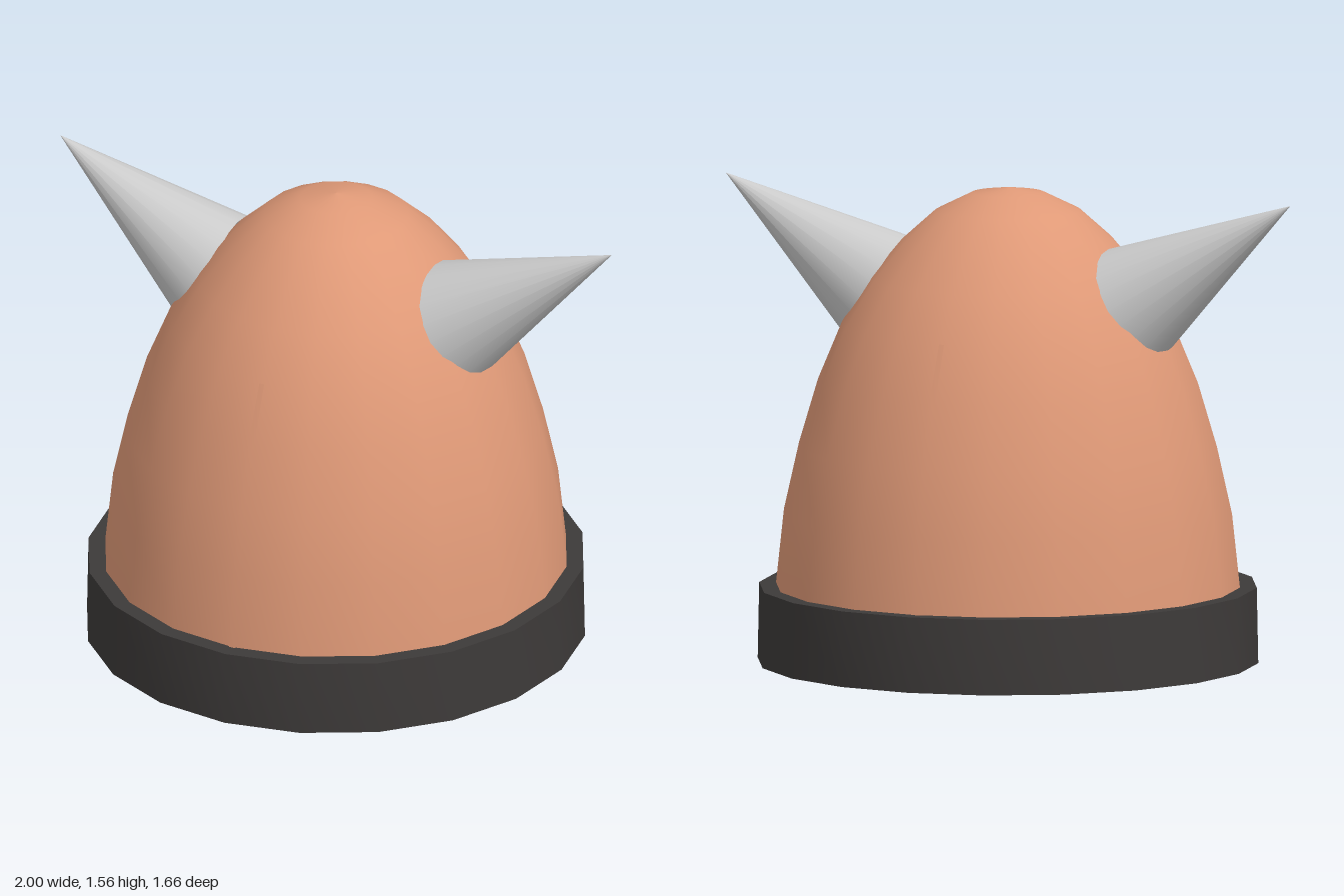
import * as THREE from 'three';
import { toCreasedNormals } from 'three/addons/utils/BufferGeometryUtils.js';

const SIDES = 20;
const paint = (color) => new THREE.MeshStandardMaterial({ color, side: THREE.DoubleSide });

function lathe(points, segments = SIDES, start = 0, sweep = Math.PI * 2) {
  const profile = points.map(([r, y]) => new THREE.Vector2(r, y));
  const geo = new THREE.LatheGeometry(profile, segments, start, sweep);
  return geo.scale(0.985, 1, 1); // slightly narrower than deep
}

function add(parent, name, geo, material) {
  const mesh = new THREE.Mesh(geo, material);
  mesh.name = name;
  parent.add(mesh);
  return mesh;
}

// Open cone with its tip at the origin; the base reaches further at the
// front and back so that it wraps around the curved dome
function hornGeometry(radius, length) {
  const geo = new THREE.ConeGeometry(radius, length, SIDES, 1, true).translate(0, -length / 2, 0);
  const pos = geo.attributes.position;
  const v = new THREE.Vector3();
  for (let i = 0; i < pos.count; i++) {
    v.fromBufferAttribute(pos, i);
    v.multiplyScalar(1 + 0.07 * (v.z / radius) ** 2);
    pos.setXYZ(i, v.x, v.y, v.z);
  }
  return geo;
}

export function createModel() {
  const model = new THREE.Group();
  model.name = 'hornedHelmet';
  const copper = paint(0xdf9977);
  const iron = paint(0x3d3a39);
  const bone = paint(0xcccccc);

  // Dome: outer skin and a slightly smaller lining
  const profile = [
    [0.77, 0.24], [0.743, 0.49], [0.693, 0.71], [0.63, 0.92], [0.55, 1.11],
    [0.455, 1.26], [0.35, 1.385], [0.24, 1.482], [0.12, 1.54], [0, 1.558],
  ];
  const dome = new THREE.Group();
  dome.name = 'dome';
  model.add(dome);
  add(dome, 'outerShell', lathe(profile), copper);
  const lining = profile.map(([r, y]) => [r * 0.957, 0.24 + (y - 0.24) * 0.975]).reverse();
  add(dome, 'innerLining', lathe(lining), copper);

  // Narrow seams up the front and back of the dome
  const seam = profile.slice(0, 5).map(([r, y]) => [r + 0.003, y]);
  add(dome, 'frontSeam', lathe(seam, 1, -0.016, 0.032), copper);
  add(dome, 'backSeam', lathe(seam, 1, Math.PI - 0.016, 0.032), copper);

  // Rim band with a lip that closes the gap under the dome wall
  const band = lathe([
    [0.737, 0.24], [0.785, 0.24], [0.785, 0], [0.83, 0],
    [0.825, 0.248], [0.737, 0.248], [0.737, 0.24],
  ]);
  add(model, 'rimBand', toCreasedNormals(band, 0.6), iron);

  // Horns: straight cones leaning up and outward
  for (const side of [1, -1]) {
    const base = new THREE.Vector3(side * 0.46, 1.21, 0);
    const tip = new THREE.Vector3(side, 1.55, 0);
    const axis = tip.clone().sub(base);
    const horn = add(model, side > 0 ? 'leftHorn' : 'rightHorn',
      hornGeometry(0.193, axis.length()), bone);
    horn.position.copy(tip);
    horn.quaternion.setFromUnitVectors(new THREE.Vector3(0, 1, 0), axis.normalize());
  }
  return model;
}
